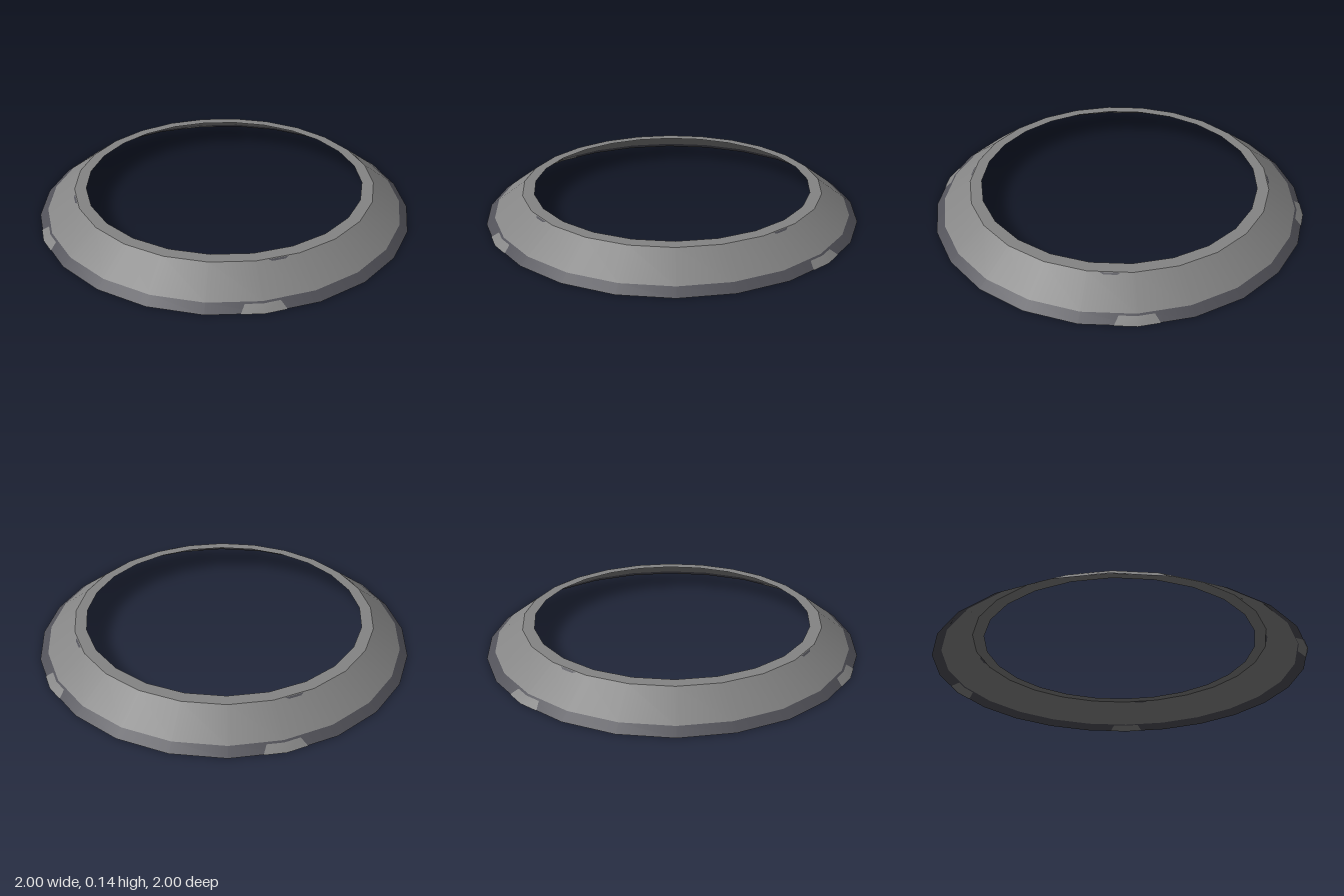
import * as THREE from 'three';

const SIDES = 24;
const STEP = (Math.PI * 2) / SIDES;
const HEIGHT = 0.14;
const BAND_TOP = 0.032;
const DEG = Math.PI / 180;

// distance from the axis to the middle of a facet at height y
const apothem = (y) => 1 - 0.194 * (y / HEIGHT);
const corner = (r) => r / Math.cos(STEP / 2);

function material(name, color) {
  const m = new THREE.MeshStandardMaterial({ color, side: THREE.DoubleSide });
  m.name = name;
  return m;
}

// open 24-sided ring through [facet radius, height] points
function ring(name, points, mat) {
  const profile = points.map(([r, y]) => new THREE.Vector2(corner(r), y));
  const mesh = new THREE.Mesh(new THREE.LatheGeometry(profile, SIDES, STEP / 2), mat);
  mesh.name = name;
  return mesh;
}

// tapered marking lying on the sloped wall, angles in degrees from +z
function marking(name, centre, halfBottom, halfTop, y0, y1, offset, mat) {
  const pos = [];
  for (const s of [-1, 0, 1]) {
    for (const [half, y] of [[halfBottom, y0], [halfTop, y1]]) {
      const a = (centre + s * half) * DEG;
      const fromMid = a - Math.round(a / STEP) * STEP;
      const r = apothem(y) / Math.cos(fromMid) + offset;
      pos.push(Math.sin(a) * r, y, Math.cos(a) * r);
    }
  }
  const g = new THREE.BufferGeometry();
  g.setAttribute('position', new THREE.Float32BufferAttribute(pos, 3));
  g.setIndex([0, 2, 3, 0, 3, 1, 2, 4, 5, 2, 5, 3]);
  g.computeVertexNormals();
  const mesh = new THREE.Mesh(g, mat);
  mesh.name = name;
  return mesh;
}

export function createModel() {
  const group = new THREE.Group();
  group.name = 'bevelRing';
  const grey = material('midGrey', 0x848484);
  const dark = material('darkGrey', 0x505057);

  // sloped wall, dark foot band and flat inner lip
  group.add(
    ring('footBand', [[1, 0], [apothem(BAND_TOP), BAND_TOP]], dark),
    ring('slopedWall', [[apothem(BAND_TOP), BAND_TOP], [apothem(HEIGHT), HEIGHT]], grey),
    ring('innerLip', [[apothem(HEIGHT), HEIGHT], [0.745, HEIGHT]], grey),
  );

  // four worn patches on the band and four small nicks under the rim, on both wall faces
  for (const base of [0, 180]) {
    for (const side of [-1, 1]) {
      for (const offset of [0.003, -0.003]) {
        group.add(
          marking('bandPatch', base + side * 37.5, 6, 4.8, 0, 0.027, offset, grey),
          marking('rimNick', base + side * 45, 2.2, 3.4, 0.133, 0.139, offset, dark),
        );
      }
    }
  }
  return group;
}
